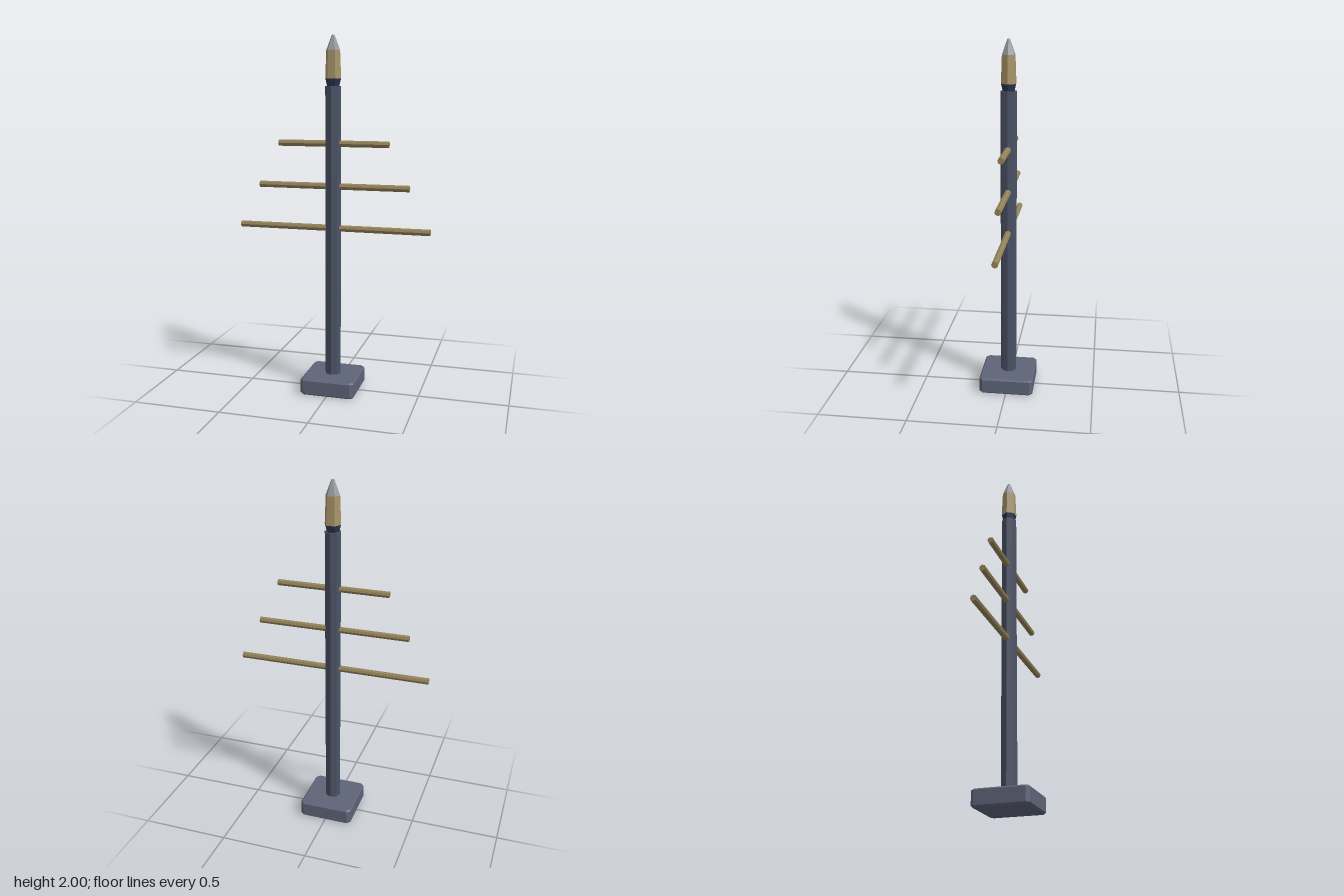
import * as THREE from 'three';

const material = (color) => new THREE.MeshStandardMaterial({ color, flatShading: true });

export function createModel() {
  const model = new THREE.Group();
  const slate = material(0x5e6478);
  const steel = material(0x4a5264);
  const navy = material(0x2c3450);
  const brass = material(0x94835a);
  const gold = material(0xa8946a);
  const silver = material(0x9a9ea0);

  const add = (name, geometry, mat) => {
    const mesh = new THREE.Mesh(geometry, mat);
    mesh.name = name;
    model.add(mesh);
    return mesh;
  };

  // Upright faceted section from y0 to y1
  const section = (name, r0, r1, y0, y1, sides, mat, turn = 0) => {
    const mesh = add(name, new THREE.CylinderGeometry(r1, r0, y1 - y0, sides), mat);
    mesh.position.y = (y0 + y1) / 2;
    mesh.rotation.y = turn;
  };

  // Square foot with cut corners and bevelled rims
  const bevel = 0.008, h = 0.155 - bevel, c = h - 0.014;
  const outline = new THREE.Shape([
    [h, -c], [h, c], [c, h], [-c, h], [-h, c], [-h, -c], [-c, -h], [c, -h],
  ].map(([x, y]) => new THREE.Vector2(x, y)));
  const foot = new THREE.ExtrudeGeometry(outline, {
    depth: 0.092 - 2 * bevel, bevelEnabled: true, bevelSegments: 1,
    bevelSize: bevel, bevelThickness: bevel,
  });
  foot.rotateX(-Math.PI / 2).translate(0, bevel, 0);
  add('base', foot, slate);

  // Eight-sided mast
  section('mast', 0.045, 0.045, 0.09, 1.73, 8, steel);

  // Crossbars, shorter towards the top
  [[0.943, 0.548], [1.179, 0.43], [1.416, 0.314]].forEach(([y, half], i) => {
    const bar = add(`crossbar${i + 1}`, new THREE.CylinderGeometry(0.018, 0.018, half * 2, 8), brass);
    bar.rotation.z = Math.PI / 2;
    bar.position.y = y;
  });

  // Six-sided finial: collar, body and point
  const turn = Math.PI / 6;
  section('collar', 0.034, 0.044, 1.728, 1.768, 6, navy, turn);
  section('finialBody', 0.045, 0.039, 1.768, 1.92, 6, gold, turn);
  section('finialPoint', 0.039, 0.008, 1.92, 2, 6, silver, turn);

  return model;
}
